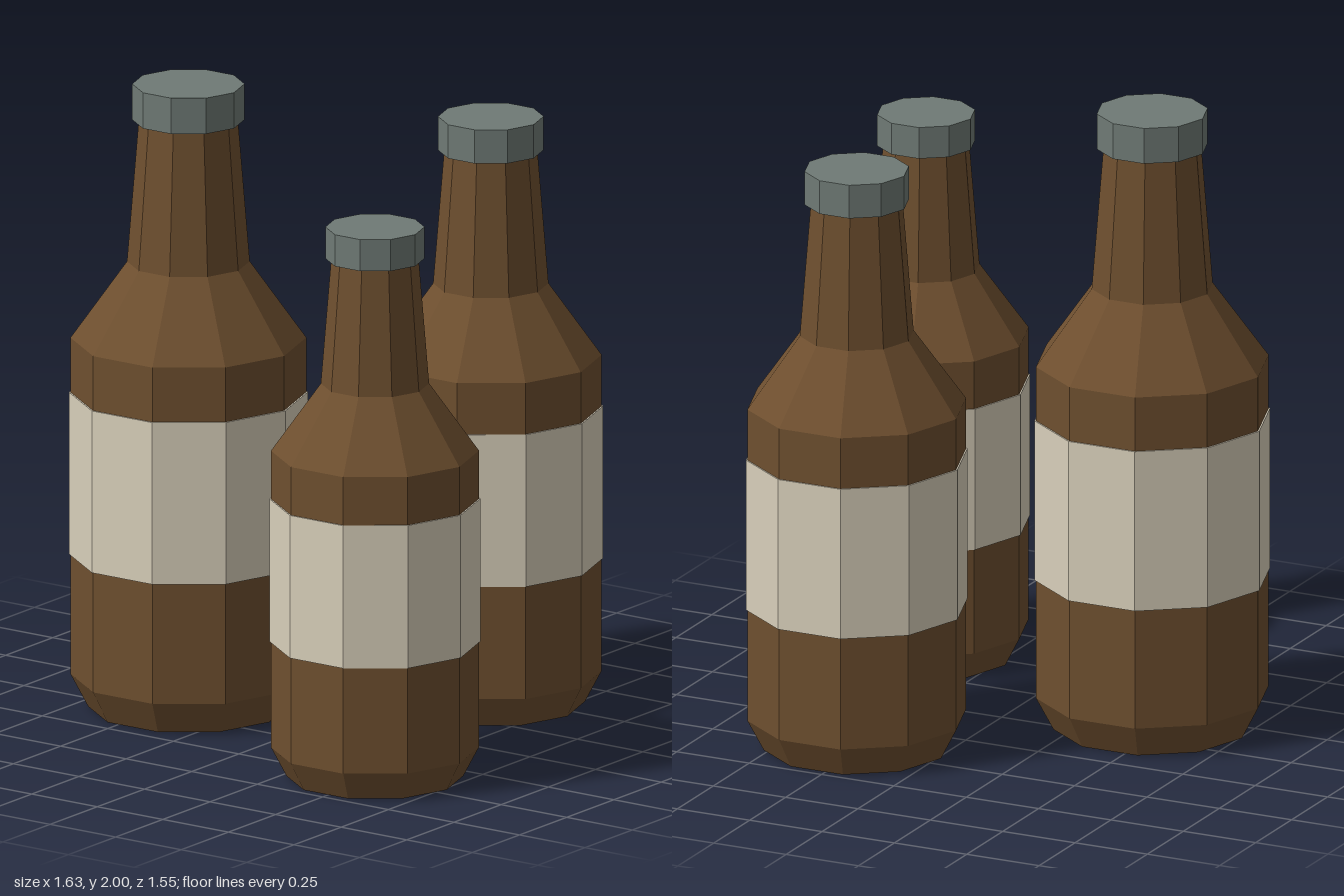
import * as THREE from 'three';

const SIDES = 10;
const glass = new THREE.MeshStandardMaterial({ color: 0x6e4f2f, flatShading: true });
const paper = new THREE.MeshStandardMaterial({ color: 0xd8cfba, flatShading: true });
const metal = new THREE.MeshStandardMaterial({ color: 0x6f7a75, flatShading: true });

// Faceted solid of revolution from [radius, height] pairs, with corners on the x axis
function turned(name, profile, material) {
  const points = profile.map(([r, y]) => new THREE.Vector2(r, y));
  const geometry = new THREE.LatheGeometry(points, SIDES).rotateY(Math.PI / 2);
  const mesh = new THREE.Mesh(geometry, material);
  mesh.name = name;
  return mesh;
}

function createBottle(name) {
  const bottle = new THREE.Group();
  bottle.name = name;
  bottle.add(
    // Bevelled base, straight body, sloping shoulder and tapered neck
    turned('glassBody', [
      [0, 0], [0.31, 0], [0.365, 0.105], [0.365, 1.185],
      [0.19, 1.43], [0.153, 1.89], [0, 1.89],
    ], glass),
    // Thin sleeve wrapped around the body
    turned('label', [[0.364, 0.49], [0.37, 0.49], [0.37, 1.01], [0.364, 1.01]], paper),
    // Wider cap closing the neck
    turned('cap', [[0, 1.885], [0.174, 1.885], [0.174, 2], [0, 2]], metal),
  );
  return bottle;
}

export function createModel() {
  const model = new THREE.Group();
  model.name = 'bottles';
  const layout = [
    ['largeBottle', -0.447, 0.147, 1],
    ['mediumBottle', 0.28, -0.445, 0.94],
    ['smallBottle', 0.49, 0.46, 0.882],
  ];
  for (const [name, x, z, size] of layout) {
    const bottle = createBottle(name);
    bottle.position.set(x, 0, z);
    bottle.scale.setScalar(size);
    model.add(bottle);
  }
  return model;
}
